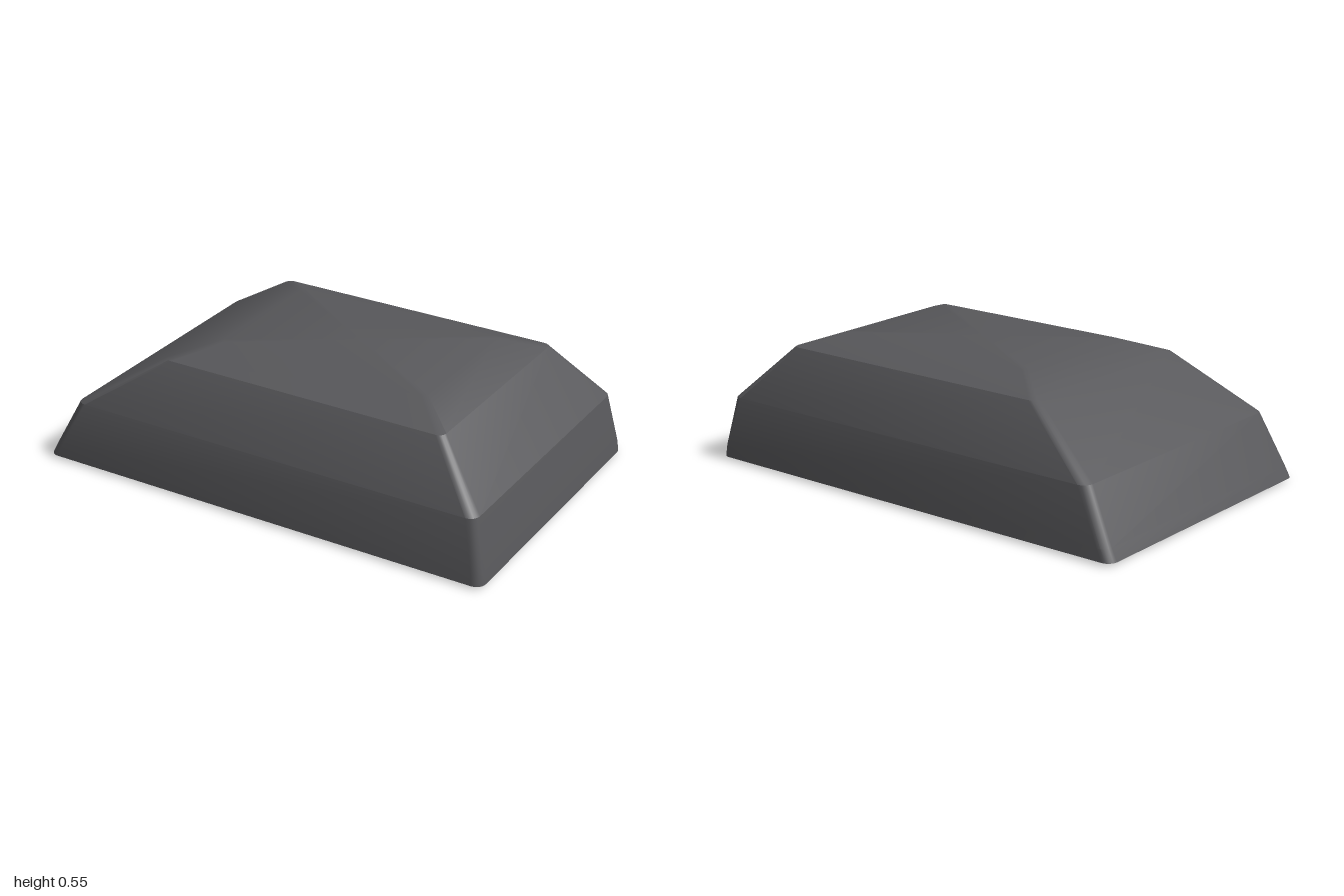
import * as THREE from 'three';
import { toCreasedNormals } from 'three/addons/utils/BufferGeometryUtils.js';

// Horizontal sections, bottom to top: height, right end x, left end x, half depth, corner radius
const SECTIONS = [
  [0.0, -0.95, 0.95, 0.58, 0.03],
  [0.012, -1.0, 1.0, 0.632, 0.04],
  [0.06, -0.975, 0.994, 0.629, 0.04],
  [0.27, -0.865, 0.95, 0.6, 0.04],
  [0.492, -0.52, 0.735, 0.46, 0.03],
  [0.55, -0.35, 0.575, 0.305, 0.02],
];
const CORNER_STEPS = 4;

// Rounded rectangle, counter-clockwise seen from above
function ring([y, x0, x1, hz, r]) {
  const centres = [[x1 - r, -hz + r], [x0 + r, -hz + r], [x0 + r, hz - r], [x1 - r, hz - r]];
  const points = [];
  centres.forEach(([cx, cz], corner) => {
    for (let i = 0; i <= CORNER_STEPS; i++) {
      const a = (corner + i / CORNER_STEPS) * Math.PI / 2;
      points.push([cx + r * Math.cos(a), y, cz - r * Math.sin(a)]);
    }
  });
  return points;
}

// Skin between the sections, closed with a fan at both ends
function loft(sections) {
  const rings = sections.map(ring);
  const n = rings[0].length;
  const positions = [];
  const triangle = (a, b, c) => positions.push(...a, ...b, ...c);
  const middle = ([y, x0, x1]) => [(x0 + x1) / 2, y, 0];
  const top = rings.length - 1;
  for (let i = 0; i < n; i++) {
    const j = (i + 1) % n;
    for (let k = 0; k < top; k++) {
      triangle(rings[k][i], rings[k][j], rings[k + 1][j]);
      triangle(rings[k][i], rings[k + 1][j], rings[k + 1][i]);
    }
    triangle(middle(sections[0]), rings[0][j], rings[0][i]);
    triangle(middle(sections[top]), rings[top][i], rings[top][j]);
  }
  const geometry = new THREE.BufferGeometry();
  geometry.setAttribute('position', new THREE.Float32BufferAttribute(positions, 3));
  // Crease the shoulder and the band edge, keep the crown and corners soft
  return toCreasedNormals(geometry, THREE.MathUtils.degToRad(25));
}

export function createModel() {
  const group = new THREE.Group();
  group.name = 'bevelledBlock';
  const body = new THREE.Mesh(loft(SECTIONS), new THREE.MeshStandardMaterial({ color: 0x58585b }));
  body.name = 'body';
  group.add(body);
  return group;
}
